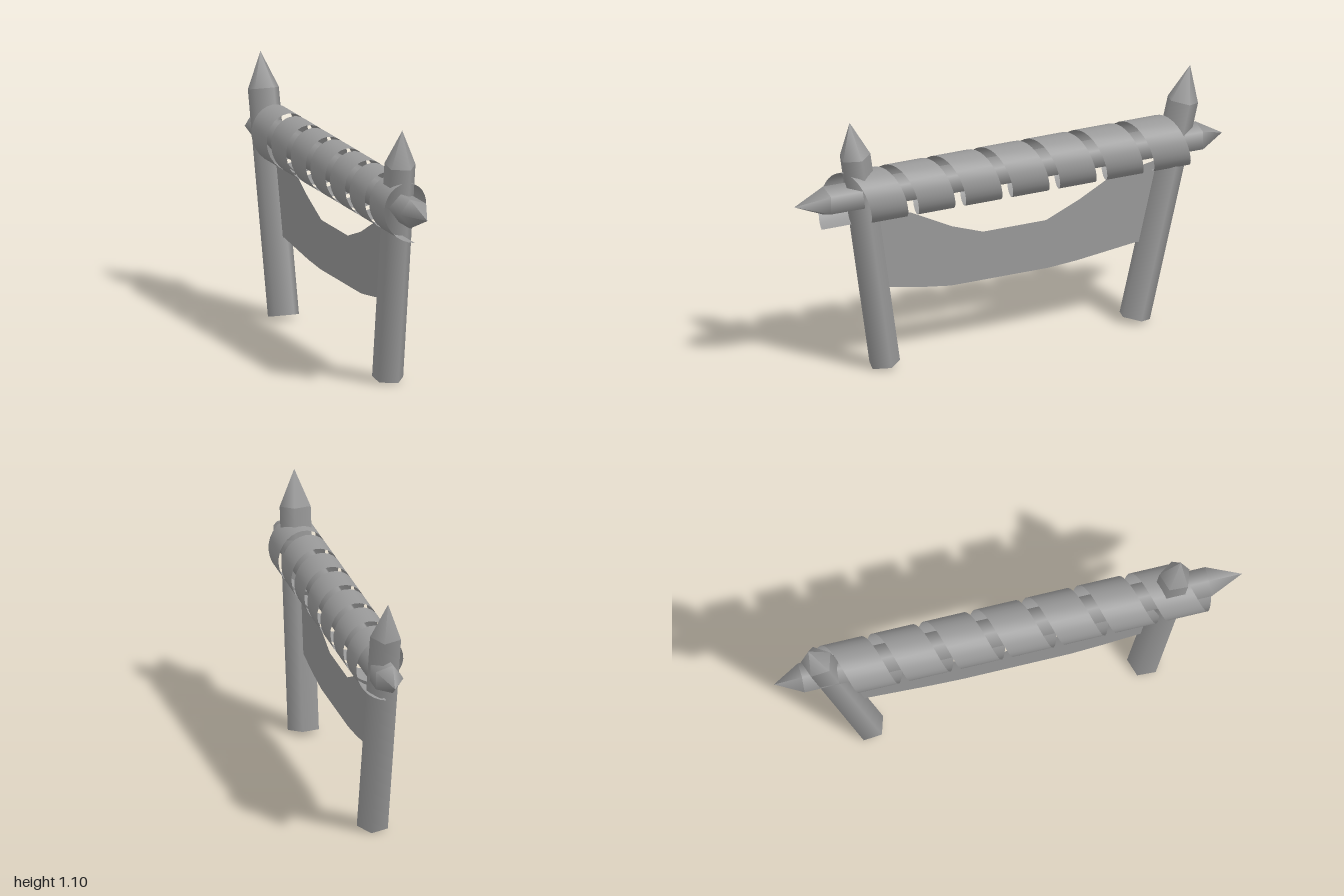
import * as THREE from 'three';

const UP = new THREE.Vector3(0, 1, 0);

export function createModel() {
  const model = new THREE.Group();
  const grey = new THREE.MeshStandardMaterial({ color: 0x999999, side: THREE.DoubleSide });
  grey.name = 'grey';

  function add(parent, name, geometry) {
    const mesh = new THREE.Mesh(geometry, grey);
    mesh.name = name;
    parent.add(mesh);
  }

  // Five-sided pole between two points, with sharpened ends
  function pole(name, start, end, radius, turn, startTip, endTip) {
    const a = new THREE.Vector3(...start), b = new THREE.Vector3(...end);
    const length = a.distanceTo(b);
    const group = new THREE.Group();
    group.name = name;
    group.position.copy(a);
    group.quaternion.setFromUnitVectors(UP, b.clone().sub(a).normalize());
    const body = length - startTip - endTip;
    add(group, name + 'Shaft', new THREE.CylinderGeometry(radius, radius, body, 5, 1, false, turn)
      .translate(0, startTip + body / 2, 0));
    add(group, name + 'Point', new THREE.CylinderGeometry(0, radius, endTip, 5, 1, true, turn)
      .translate(0, length - endTip / 2, 0));
    if (startTip > 0) {
      add(group, name + 'BackPoint', new THREE.CylinderGeometry(radius, 0, startTip, 5, 1, true, turn)
        .translate(0, startTip / 2, 0));
    }
    model.add(group);
  }

  // Two leaning posts and the crossbeam
  pole('frontPost', [-0.004, 0.015, 0.576], [-0.004, 1.107, 0.737], 0.068, Math.PI / 2, 0, 0.155);
  pole('backPost', [-0.004, 0.018, -0.593], [-0.004, 1.087, -0.855], 0.068, Math.PI / 2, 0, 0.155);
  pole('crossbeam', [0.003, 0.765, -1], [0.003, 0.78, 1], 0.065, -Math.PI / 2, 0.115, 0.145);

  // Ribbon wound seven times round the beam
  const turns = 7, perTurn = 28, pitch = 0.22, width = 0.17, radius = 0.114;
  const ribbon = new THREE.PlaneGeometry(1, 1, turns * perTurn, 1);
  const pos = ribbon.attributes.position;
  for (let i = 0; i < pos.count; i++) {
    const t = (pos.getX(i) + 0.5) * turns;
    const angle = t * Math.PI * 2 - Math.PI / 2;
    pos.setXYZ(i, Math.cos(angle) * radius, 0.771 + Math.sin(angle) * radius,
      -0.756 + t * pitch + pos.getY(i) * width);
  }
  ribbon.computeVertexNormals();
  add(model, 'woundRibbon', ribbon);

  // Hanging cloth between the posts, outlined as (z, y)
  const outline = [
    [0.64, 0.72], [0.45, 0.66], [0.26, 0.567], [0.115, 0.518], [-0.18, 0.518], [-0.335, 0.583],
    [-0.485, 0.66], [-0.72, 0.7], [-0.64, 0.343], [-0.6, 0.348], [-0.325, 0.315], [-0.19, 0.305],
    [0.265, 0.305], [0.4, 0.322], [0.555, 0.348], [0.6, 0.355],
  ];
  const cloth = new THREE.ShapeGeometry(new THREE.Shape(outline.map(([z, y]) => new THREE.Vector2(-z, y))));
  cloth.rotateY(Math.PI / 2);
  add(model, 'hangingCloth', cloth);

  return model;
}
